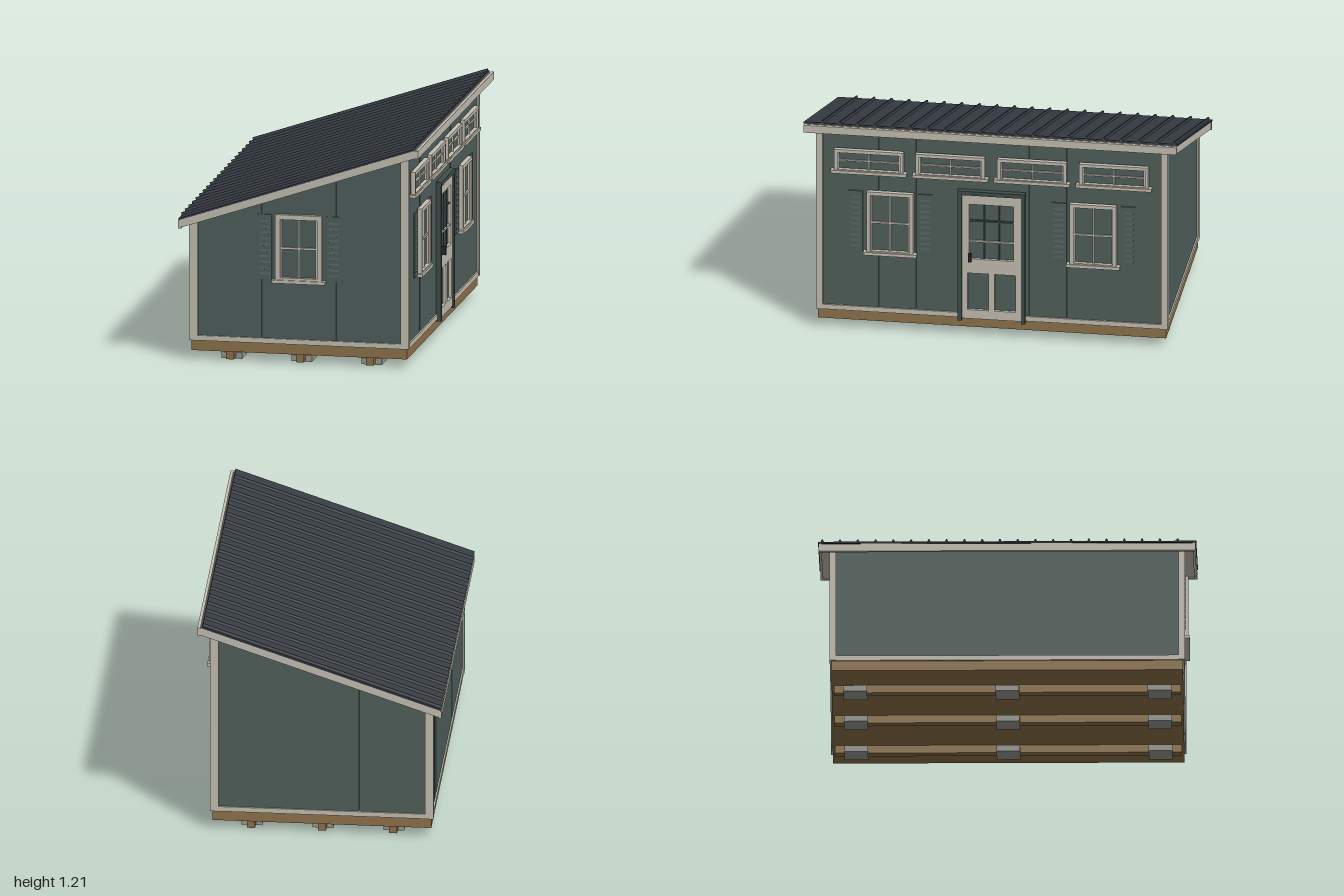
import * as THREE from 'three';

const mat = (name, color) => {
  const m = new THREE.MeshStandardMaterial({ color });
  m.name = name;
  return m;
};

const SLOPE = 0.3386;                         // roof rise per unit of x
const wallTop = (x) => 0.95 + SLOPE * x;      // wall height under the roof

export function createModel() {
  const siding = mat('green siding', 0x50605c);
  const trim = mat('cream trim', 0xc6c1b3);
  const wood = mat('timber', 0x8f744c);
  const roofing = mat('dark metal roofing', 0x383d45);
  const concrete = mat('concrete', 0x9a9892);
  const casing = mat('dark green casing', 0x3f4e4b);
  const black = mat('black metal', 0x26292d);

  const model = new THREE.Group();
  model.name = 'shed';

  const group = (name, parent = model) => {
    const g = new THREE.Group();
    g.name = name;
    parent.add(g);
    return g;
  };
  const add = (parent, name, geo, m, x = 0, y = 0, z = 0) => {
    const mesh = new THREE.Mesh(geo, m);
    mesh.name = name;
    mesh.position.set(x, y, z);
    parent.add(mesh);
    return mesh;
  };
  // Box given by its limits on each axis
  const block = (parent, name, m, x0, x1, y0, y1, z0, z1) =>
    add(parent, name, new THREE.BoxGeometry(x1 - x0, y1 - y0, z1 - z0), m,
      (x0 + x1) / 2, (y0 + y1) / 2, (z0 + z1) / 2);
  // Upright slab whose top follows the roof
  const slopedSlab = (parent, name, m, x0, x1, y0, z0, z1) => {
    const s = new THREE.Shape([
      new THREE.Vector2(x0, y0), new THREE.Vector2(x1, y0),
      new THREE.Vector2(x1, wallTop(x1)), new THREE.Vector2(x0, wallTop(x0)),
    ]);
    return add(parent, name, new THREE.ExtrudeGeometry(s, { depth: z1 - z0, bevelEnabled: false }), m, 0, 0, z0);
  };

  // Foundation: pads, skids and floor frame
  const base = group('foundation');
  for (const x of [-0.375, 0, 0.375]) {
    block(base, 'skid', wood, x - 0.021, x + 0.021, 0.006, 0.052, -0.912, 0.912);
    for (const z of [-0.8, 0, 0.8]) block(base, 'pad', concrete, x - 0.055, x + 0.055, 0, 0.034, z - 0.062, z + 0.062);
  }
  block(base, 'floorFrame', wood, -0.578, 0.578, 0.05, 0.106, -0.925, 0.925);

  // Walls: solid core covered by boards with narrow grooves between
  const walls = group('walls');
  slopedSlab(walls, 'wallCore', siding, -0.573, 0.573, 0.105, -0.918, 0.918);
  const boards = (cuts, start, end, build) => {
    const edges = [start, ...cuts, end];
    for (let i = 0; i < edges.length - 1; i++) build(edges[i] + 0.003, edges[i + 1] - 0.003);
  };
  const endCuts = [-0.4, -0.2, 0, 0.2, 0.4];
  boards(endCuts, -0.58, 0.58, (a, b) => {
    slopedSlab(walls, 'endBoard', siding, a, b, 0.105, 0.917, 0.925);
    slopedSlab(walls, 'endBoard', siding, a, b, 0.105, -0.925, -0.917);
  });
  boards([-0.8, -0.6, -0.4, -0.2, 0, 0.2, 0.4, 0.6, 0.8], -0.92, 0.92, (a, b) =>
    block(walls, 'doorSideBoard', siding, 0.572, 0.58, 0.105, 1.14, a, b));
  boards([-0.85, -0.77, -0.68, -0.58, -0.48, -0.34, -0.13, 0.07, 0.27, 0.47, 0.67, 0.82], -0.92, 0.92, (a, b) =>
    block(walls, 'lowSideBoard', siding, -0.58, -0.572, 0.105, 0.754, a, b));

  // Corner boards and skirting
  const trims = group('wallTrim');
  for (const s of [-1, 1]) {
    const ends = (a, b) => (s > 0 ? [a, b] : [-b, -a]);
    for (const x of [[-0.59, -0.545], [0.545, 0.59]]) slopedSlab(trims, 'cornerPost', trim, x[0], x[1], 0.105, ...ends(0.9, 0.935));
    block(trims, 'endSkirting', trim, -0.55, 0.55, 0.105, 0.132, ...ends(0.915, 0.933));
    block(trims, 'sideSkirting', trim, ...ends(0.57, 0.588), 0.105, 0.132, -0.905, 0.905);
  }

  // Roof, tilted as one group
  const roof = group('roof');
  const tilt = Math.atan(SLOPE);
  roof.position.set(0, 0.975, 0);
  roof.rotation.z = tilt;
  block(roof, 'roofDeck', trim, -0.665, 0.665, -0.036, 0, -0.978, 0.978);
  for (const s of [-1, 1]) {
    block(roof, 'rakeBoard', trim, -0.668, 0.668, -0.04, 0.001, s * 0.983 - 0.007, s * 0.983 + 0.007);
    const f = block(roof, 'eaveFascia', trim, -0.008, 0.008, -0.021, 0.021, -0.992, 0.992);
    f.position.set(s * 0.672, -0.023, 0);
    f.rotation.z = -tilt;
  }
  block(roof, 'metalSheet', roofing, -0.668, 0.664, 0.002, 0.011, -0.995, 0.995);
  const ribShape = new THREE.Shape([
    new THREE.Vector2(-0.009, 0), new THREE.Vector2(0.009, 0),
    new THREE.Vector2(0.003, 0.013), new THREE.Vector2(-0.003, 0.013),
  ]);
  const ribGeo = new THREE.ExtrudeGeometry(ribShape, { depth: 1.332, bevelEnabled: false });
  ribGeo.rotateY(Math.PI / 2);
  for (let i = 0; i < 21; i++) add(roof, 'roofRib', ribGeo, roofing, -0.668, 0.01, -0.973 + i * 0.0935);

  // Window in its own plane: x across, y up, +z outwards, origin at bottom centre
  const windowUnit = (parent, name, w, h, frame, bar) => {
    const g = group(name, parent);
    const r = w / 2;
    block(g, 'pane', siding, -r, r, 0, h, 0, 0.004);
    for (const s of [-1, 1]) {
      const c = s * (r - frame / 2);
      block(g, 'frameSide', trim, c - frame / 2, c + frame / 2, 0, h, 0, 0.025);
      const d = s * (r - frame - 0.004);
      block(g, 'sashSide', trim, d - 0.004, d + 0.004, frame, h - frame, 0, 0.015);
    }
    block(g, 'frameTop', trim, -r + frame, r - frame, h - frame, h, 0, 0.025);
    block(g, 'frameBottom', trim, -r + frame, r - frame, 0, frame, 0, 0.025);
    block(g, 'sill', trim, -r - 0.018, r + 0.018, -0.004, 0.013, 0, 0.032);
    block(g, 'uprightBar', trim, -bar / 2, bar / 2, frame, h - frame, 0, 0.014);
    block(g, 'crossBar', trim, -r + frame, r - frame, h / 2 - bar / 2, h / 2 + bar / 2, 0, 0.013);
    return g;
  };
  // Louvred shutters on both sides of a window
  const shutters = (g, inner, w, h) => {
    for (const s of [-1, 1]) {
      const c = s * (inner + w / 2);
      block(g, 'shutter', siding, c - w / 2, c + w / 2, 0.008, h, 0, 0.007);
      for (let i = 0; i < 10; i++) {
        const y = 0.035 + i * (h - 0.06) / 9.5;
        const slat = block(g, 'louvre', siding, c - w / 2 + 0.012, c + w / 2 - 0.012, y, y + 0.014, 0.005, 0.008);
        slat.rotation.x = -0.25;
      }
    }
  };

  // Front end window
  const endWindow = windowUnit(model, 'endWindow', 0.25, 0.365, 0.026, 0.011);
  endWindow.position.set(0, 0.44, 0.925);
  shutters(endWindow, 0.147, 0.077, 0.36);

  // Door wall fittings, turned to face +x
  const side = group('doorWallFittings');
  side.position.x = 0.58;
  side.rotation.y = Math.PI / 2;
  for (const x of [-0.54, 0.54]) {
    const g = windowUnit(side, 'sideWindow', 0.248, 0.36, 0.02, 0.01);
    g.position.set(x, 0.445, 0);
    shutters(g, 0.147, 0.077, 0.355);
  }
  for (const x of [-0.653, -0.219, 0.215, 0.65]) {
    windowUnit(side, 'transomWindow', 0.368, 0.132, 0.018, 0.008).position.set(x, 0.908, 0);
  }

  // Door: casing, leaf with openings, panels, bars and handle
  const door = group('door', side);
  for (const s of [-1, 1]) block(door, 'casingPost', casing, s * 0.168 - 0.011, s * 0.168 + 0.011, 0.095, 0.825, -0.004, 0.029);
  block(door, 'casingHead', casing, -0.18, 0.18, 0.822, 0.845, -0.004, 0.031);
  const rect = (C, x0, x1, y0, y1) => new C([
    new THREE.Vector2(x0, y0), new THREE.Vector2(x1, y0), new THREE.Vector2(x1, y1), new THREE.Vector2(x0, y1),
  ]);
  const leaf = rect(THREE.Shape, -0.157, 0.157, 0.107, 0.823);
  leaf.holes.push(
    rect(THREE.Path, -0.118, 0.118, 0.452, 0.768),
    rect(THREE.Path, -0.128, -0.016, 0.158, 0.37),
    rect(THREE.Path, 0.016, 0.128, 0.158, 0.37));
  add(door, 'doorLeaf', new THREE.ExtrudeGeometry(leaf, { depth: 0.022, bevelEnabled: false }), trim);
  block(door, 'doorPanels', siding, -0.15, 0.15, 0.12, 0.8, 0, 0.006);
  for (const x of [-0.04, 0.04]) block(door, 'doorUprightBar', casing, x - 0.003, x + 0.003, 0.452, 0.768, 0.004, 0.014);
  block(door, 'doorUpperBar', casing, -0.118, 0.118, 0.667, 0.675, 0.004, 0.016);
  block(door, 'doorLowerBar', trim, -0.118, 0.118, 0.548, 0.557, 0.004, 0.016);
  block(door, 'handle', black, -0.122, -0.106, 0.44, 0.487, 0.02, 0.042);

  return model;
}
